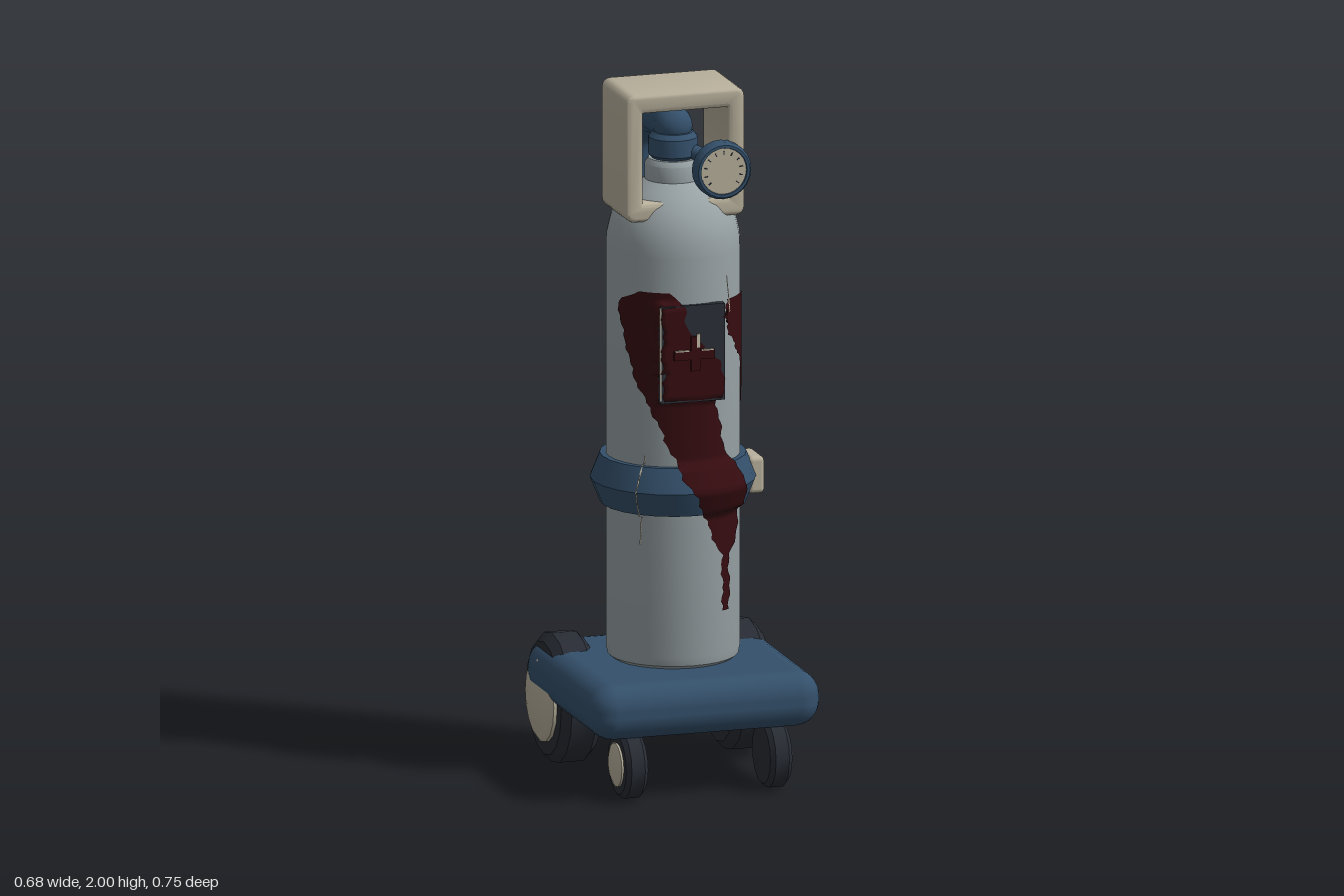
import * as THREE from 'three';
import { toCreasedNormals } from 'three/addons/utils/BufferGeometryUtils.js';
import { RoundedBoxGeometry } from 'three/addons/geometries/RoundedBoxGeometry.js';

const paint = (color, side = THREE.FrontSide) => new THREE.MeshStandardMaterial({ color, side });
const blue = paint(0x34506b), beige = paint(0xb8b09c), steel = paint(0x98a2a5);
const rubber = paint(0x282c34), dark = paint(0x2b3038);
const stain = paint(0x360c10, THREE.DoubleSide), scratch = paint(0xc4bca8, THREE.DoubleSide);
const CZ = 0.025, R = 0.19; // tank axis and radius

function add(parent, name, geometry, material, x = 0, y = 0, z = 0) {
  const mesh = new THREE.Mesh(geometry, material);
  mesh.name = name;
  mesh.position.set(x, y, z);
  parent.add(mesh);
  return mesh;
}

const lathe = (points, sides, crease = 0.6) =>
  toCreasedNormals(new THREE.LatheGeometry(points.map(p => new THREE.Vector2(...p)), sides), crease);

// Bevelled wheel with its axle along x, hub cap facing +x
function wheel(name, r, w, hubR, hubOut) {
  const g = new THREE.Group();
  g.name = name;
  const h = w / 2, b = r * 0.13;
  const tyre = lathe([[0, -h], [r - b, -h], [r, -h + b], [r, h - b], [r - b, h], [0, h]], 16);
  add(g, 'tyre', tyre.rotateZ(-Math.PI / 2), rubber);
  const cap = lathe([[hubR, h - 0.01], [hubR, h + hubOut * 0.5], [hubR - 0.015, h + hubOut], [0, h + hubOut]], 16);
  add(g, 'hubCap', cap.rotateZ(-Math.PI / 2), beige);
  return g;
}

function roundRect(Type, x0, y0, x1, y1, r) {
  const s = new Type();
  s.moveTo(x0 + r, y0);
  s.lineTo(x1 - r, y0); s.quadraticCurveTo(x1, y0, x1, y0 + r);
  s.lineTo(x1, y1 - r); s.quadraticCurveTo(x1, y1, x1 - r, y1);
  s.lineTo(x0 + r, y1); s.quadraticCurveTo(x0, y1, x0, y1 - r);
  s.lineTo(x0, y0 + r); s.quadraticCurveTo(x0, y0, x0 + r, y0);
  return s;
}

// Thin layer wrapped on the tank; rows are [y, startAngle, endAngle], riding over strap and plate
function wrap(rows, rough) {
  const pos = [], index = [], N = 70, C = 14;
  const top = rows[0][0], bottom = rows[rows.length - 1][0];
  for (let i = 0; i <= N; i++) {
    const y = top + (bottom - top) * i / N;
    let k = 0;
    while (k < rows.length - 2 && y < rows[k + 1][0]) k++;
    const [a, b] = [rows[k], rows[k + 1]], t = (a[0] - y) / (a[0] - b[0]);
    const left = a[1] + (b[1] - a[1]) * t + rough * (Math.sin(i * 2.3) + Math.sin(i * 0.9));
    const right = a[2] + (b[2] - a[2]) * t + rough * (Math.sin(i * 1.7 + 1) + Math.sin(i * 0.7));
    const strap = Math.abs(y - 0.86) < 0.075 ? 0.24 - 0.03 * Math.abs(y - 0.86) / 0.07 : 0;
    const r = Math.max(R + 0.003, strap);
    for (let j = 0; j <= C; j++) {
      const th = left + (right - left) * j / C, x = r * Math.sin(th);
      let z = CZ + r * Math.cos(th);
      if (z > 0 && Math.abs(x) < 0.1 && y > 1.12 && y < 1.4) z = Math.max(z, 0.228);
      pos.push(x, y, z);
      if (i < N && j < C) {
        const p = i * (C + 1) + j, q = p + C + 1;
        index.push(p, q, p + 1, q, q + 1, p + 1);
      }
    }
  }
  const g = new THREE.BufferGeometry();
  g.setAttribute('position', new THREE.Float32BufferAttribute(pos, 3));
  g.setIndex(index);
  g.computeVertexNormals();
  return g;
}

export function createModel() {
  const model = new THREE.Group();
  model.name = 'gasTankTrolley';

  // Trolley base, wheels and upright post
  add(model, 'base', new RoundedBoxGeometry(0.68, 0.16, 0.68, 3, 0.07), blue, 0, 0.26, 0.03);
  add(model, 'post', new RoundedBoxGeometry(0.136, 1.32, 0.115, 2, 0.022), blue, 0, 0.99, -0.258);
  for (const s of [1, -1]) {
    const side = s > 0 ? 'left' : 'right';
    const big = wheel(side + 'RearWheel', 0.187, 0.12, 0.125, 0.02);
    big.position.set(s * 0.255, 0.187, -0.185);
    const caster = wheel(side + 'FrontCaster', 0.098, 0.065, 0.063, 0.012);
    caster.position.set(s * 0.213, 0.098, 0.277);
    for (const w of [big, caster]) {
      if (s < 0) w.rotation.y = Math.PI;
      model.add(w);
    }
  }

  // Tank with domed shoulder and neck
  add(model, 'tank', lathe([[0, 0.335], [0.165, 0.335], [0.185, 0.35], [R, 0.375], [R, 1.53], [0.188, 1.57],
    [0.176, 1.62], [0.15, 1.665], [0.115, 1.7], [0.08, 1.725], [0.08, 1.77], [0.07, 1.785], [0, 1.785]], 28),
  steel, 0, 0, CZ);

  // Valve and curved pipe running back into the post
  add(model, 'valve', lathe([[0, 1.78], [0.055, 1.78], [0.07, 1.795], [0.07, 1.845], [0.058, 1.86], [0, 1.86]], 16),
    blue, 0, 0, CZ);
  const path = new THREE.CatmullRomCurve3([[1.876, 0.02], [1.876, -0.1], [1.85, -0.21], [1.79, -0.28],
    [1.7, -0.294], [1.58, -0.272], [1.46, -0.258]].map(([y, z]) => new THREE.Vector3(0, y, z)));
  add(model, 'pipe', new THREE.TubeGeometry(path, 28, 0.057, 12), blue);
  add(model, 'pipeEnd', new THREE.SphereGeometry(0.057, 14, 10), blue, 0, 1.876, 0.02);

  // Carrying frame around the valve
  const frame = roundRect(THREE.Shape, -0.163, 1.642, 0.163, 1.988, 0.015);
  frame.holes.push(roundRect(THREE.Path, -0.137, 1.672, 0.137, 1.957, 0.015));
  const frameGeo = new THREE.ExtrudeGeometry(frame, {
    depth: 0.216, bevelThickness: 0.012, bevelSize: 0.012, bevelSegments: 3, curveSegments: 4,
  });
  add(model, 'carryFrame', toCreasedNormals(frameGeo, 0.6), beige, 0, 0, -0.083);

  // Pressure gauge
  const gauge = new THREE.Group();
  gauge.name = 'gauge';
  gauge.position.set(0.102, 1.77, 0);
  model.add(gauge);
  add(gauge, 'gaugeBody', lathe([[0, 0.125], [0.07, 0.125], [0.083, 0.14], [0.083, 0.17], [0.076, 0.181],
    [0.068, 0.181], [0.066, 0.174], [0, 0.174]], 24).rotateX(Math.PI / 2), blue);
  add(gauge, 'gaugeFace', new THREE.CircleGeometry(0.067, 24), beige, 0, 0, 0.176);
  for (let i = 0; i < 11; i++) {
    const a = -0.7 + i * 0.454;
    const tick = add(gauge, 'gaugeTick', new THREE.BoxGeometry(0.01, 0.003, 0.002), dark,
      Math.cos(a) * 0.053, Math.sin(a) * 0.053, 0.177);
    tick.rotation.z = a;
  }
  const stem = add(model, 'gaugeStem', new THREE.CylinderGeometry(0.022, 0.022, 0.15, 12), blue, 0.06, 1.8, 0.08);
  stem.quaternion.setFromUnitVectors(new THREE.Vector3(0, 1, 0), new THREE.Vector3(0.09, -0.03, 0.11).normalize());

  // Strap with side buckle
  add(model, 'strap', lathe([[0.18, 0.79], [0.207, 0.79], [0.235, 0.86], [0.207, 0.93], [0.18, 0.93]], 24, 0.4),
    blue, 0, 0, CZ);
  add(model, 'buckle', new RoundedBoxGeometry(0.048, 0.108, 0.118, 2, 0.014), beige, 0.226, 0.858, 0.037);

  // Front plate with raised pieces
  add(model, 'frontPlate', new THREE.BoxGeometry(0.19, 0.28, 0.022), dark, -0.005, 1.26, 0.214);
  add(model, 'plateEdge', new THREE.BoxGeometry(0.004, 0.27, 0.008), scratch, -0.1, 1.263, 0.222);
  add(model, 'plateBar', new THREE.BoxGeometry(0.12, 0.026, 0.01), stain, -0.003, 1.258, 0.231);
  add(model, 'plateUpright', new THREE.BoxGeometry(0.026, 0.1, 0.01), stain, 0, 1.262, 0.232);
  for (const [x, y, w, h] of [[0.008, 1.3, 0.01, 0.04], [-0.04, 1.272, 0.04, 0.004], [0.035, 1.272, 0.035, 0.004]])
    add(model, 'plateChip', new THREE.BoxGeometry(w, h, 0.006), scratch, x, y, 0.236);

  // Stains and scratches on the tank
  const fromX = x => Math.asin(x / R);
  const front = [[1.435, -0.14, -0.07], [1.4, -0.18, -0.03], [1.33, -0.175, -0.02], [1.27, -0.165, 0.03],
    [1.23, -0.16, 0.08], [1.15, -0.14, 0.085], [1.1, -0.115, 0.07], [1, -0.075, 0.09], [0.9, -0.03, 0.125],
    [0.8, 0.02, 0.145], [0.74, 0.05, 0.155], [0.69, 0.07, 0.135], [0.66, 0.088, 0.115], [0.5, 0.092, 0.115]];
  add(model, 'frontStain', wrap(front.map(([y, a, b]) => [y, fromX(a), fromX(b)]), 0.02), stain);
  add(model, 'sideStain', wrap([[1.4, 0.6, 1.2], [1.36, 0.5, 1.33], [1.3, 0.65, 1.46], [1.2, 1.05, 1.7],
    [1.1, 1.35, 1.92], [0.95, 1.75, 2.3], [0.88, 1.92, 2.4], [0.84, 2.05, 2.35]], 0.025), stain);
  add(model, 'leftScratch', wrap([[0.96, -0.74, -0.72], [0.7, -0.82, -0.8]], 0.003), scratch);
  add(model, 'rightScratch', wrap([[1.47, 0.58, 0.6], [1.36, 0.66, 0.68]], 0.003), scratch);

  return model;
}
